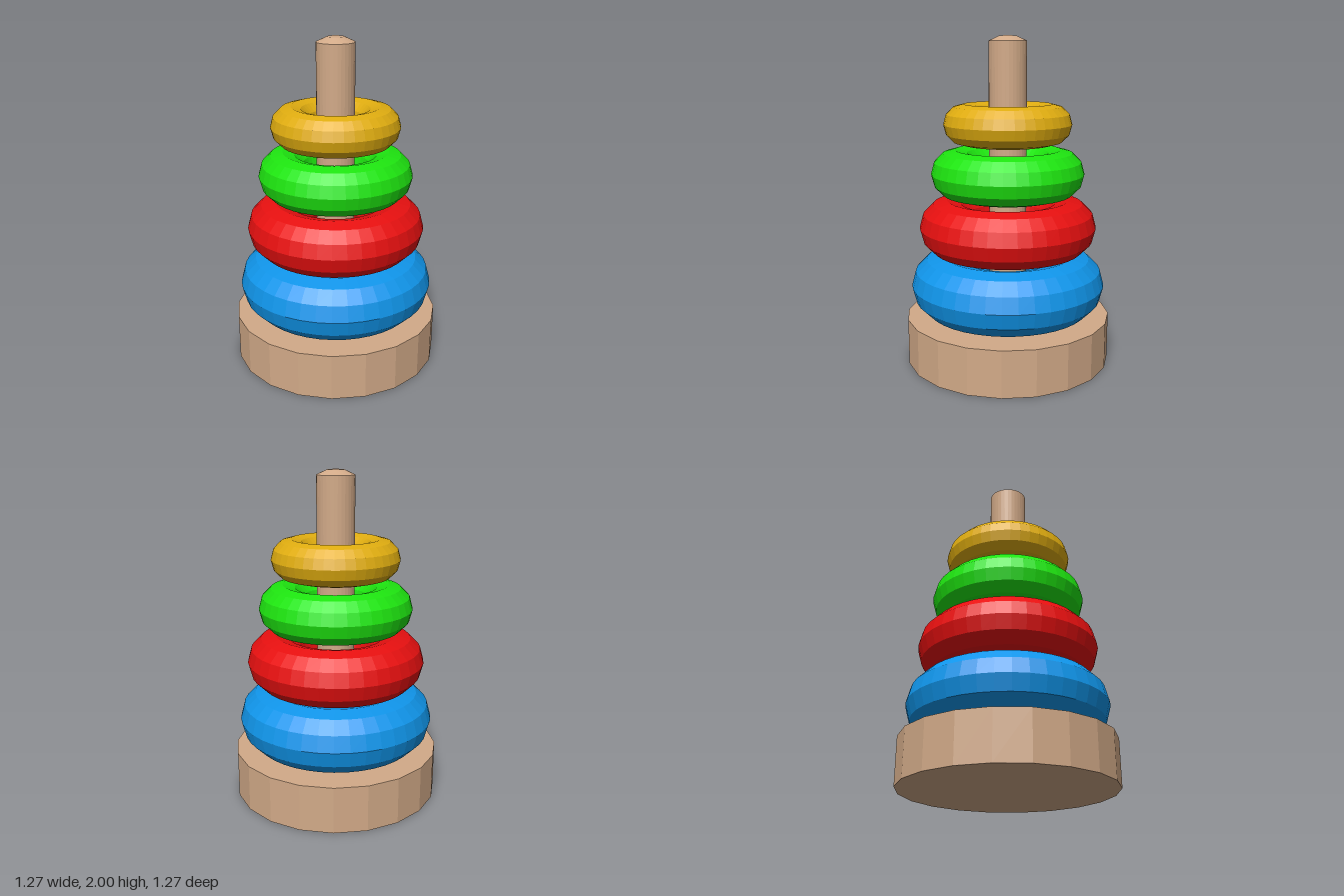
import * as THREE from 'three';

const material = (color) => new THREE.MeshStandardMaterial({ color, flatShading: true });

export function createModel() {
  const group = new THREE.Group();
  const wood = material(0xd2aa88);

  const add = (name, geometry, mat, y = 0) => {
    const mesh = new THREE.Mesh(geometry, mat);
    mesh.name = name;
    mesh.position.y = y;
    group.add(mesh);
  };

  // Round wooden base
  add('base', new THREE.CylinderGeometry(0.635, 0.635, 0.285, 20), wood, 0.1425);

  // Centre pole with a shallow bevelled tip
  const profile = [[0.115, 0.28], [0.115, 1.97], [0.05, 2], [0, 2]];
  add('pole', new THREE.LatheGeometry(profile.map(([r, y]) => new THREE.Vector2(r, y)), 32), wood);

  // Stacked rings: name, ring radius, tube radius, centre height, colour
  const rings = [
    ['blueRing', 0.41, 0.19, 0.48, 0x1095ea],
    ['redRing', 0.375, 0.17, 0.845, 0xe81010],
    ['greenRing', 0.322, 0.147, 1.177, 0x1ee610],
    ['yellowRing', 0.268, 0.122, 1.477, 0xe0ad10],
  ];
  for (const [name, radius, tube, y, color] of rings) {
    add(name, new THREE.TorusGeometry(radius, tube, 12, 40).rotateX(-Math.PI / 2), material(color), y);
  }
  return group;
}
